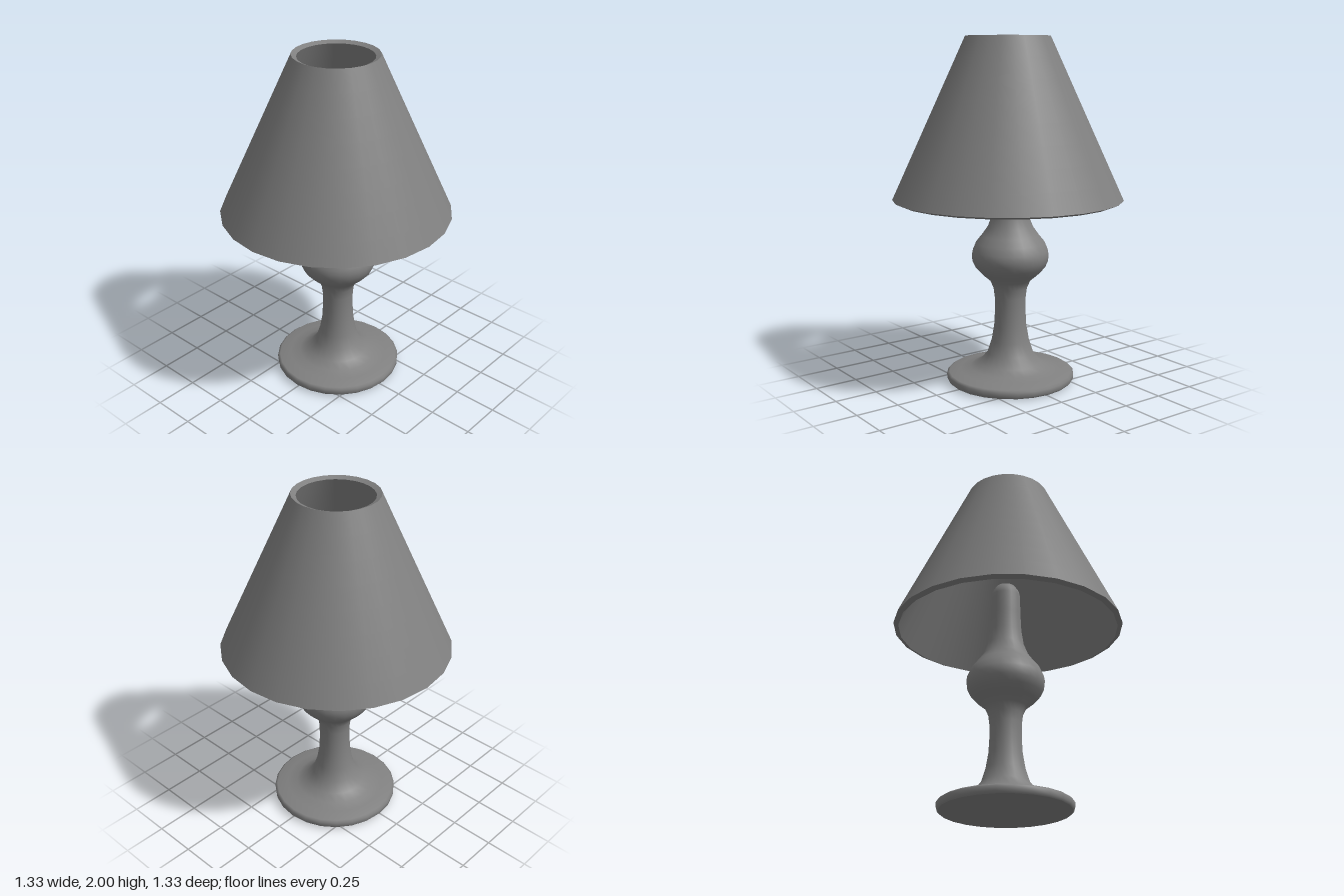
import * as THREE from 'three';

const SIDES = 24;

// Revolves a list of [radius, height] points, listed so faces look outward
function turned(name, profile, material) {
  const points = profile.map(([r, y]) => new THREE.Vector2(r, y));
  const mesh = new THREE.Mesh(new THREE.LatheGeometry(points, SIDES), material);
  mesh.name = name;
  return mesh;
}

// Straight profile in several rows, which keeps the shading of a long cone even
function straight([r0, y0], [r1, y1], rows = 8) {
  return Array.from({ length: rows + 1 }, (_, i) => [
    THREE.MathUtils.lerp(r0, r1, i / rows),
    THREE.MathUtils.lerp(y0, y1, i / rows),
  ]);
}

export function createModel() {
  const lamp = new THREE.Group();
  lamp.name = 'tableLamp';
  const material = new THREE.MeshStandardMaterial({ color: 0x808080 });

  // Turned stand: foot, waist, round bulge, neck and domed tip, slightly off the shade's axis
  const stand = new THREE.Group();
  stand.name = 'stand';
  stand.position.set(0.018, 0, -0.003);
  stand.add(turned('footUnderside', [[0, 0], [0.363, 0.006]], material));
  stand.add(turned('column', [
    [0.363, 0.006], [0.373, 0.018], [0.374, 0.045], [0.36, 0.056],
    [0.295, 0.068], [0.235, 0.082], [0.18, 0.109], [0.134, 0.165],
    [0.11, 0.24], [0.095, 0.33], [0.09, 0.42], [0.091, 0.5],
    [0.098, 0.555], [0.118, 0.6], [0.168, 0.642], [0.203, 0.68],
    [0.22, 0.718], [0.224, 0.75], [0.219, 0.78], [0.2, 0.825],
    [0.165, 0.868], [0.132, 0.915], [0.105, 0.985], [0.092, 1.07],
    [0.087, 1.18], [0.085, 1.3], [0.077, 1.33], [0.055, 1.362],
    [0.025, 1.378], [0, 1.383],
  ], material));
  lamp.add(stand);

  // Conical shade with thickness; each surface is separate to keep the rims crisp
  const shade = new THREE.Group();
  shade.name = 'shade';
  const outerLow = [0.663, 1.08], outerTop = [0.241, 2];
  const innerTop = [0.212, 1.987], innerLow = [0.634, 1.067];
  shade.add(turned('shadeOutside', straight(outerLow, outerTop), material));
  shade.add(turned('shadeTopRim', [outerTop, innerTop], material));
  shade.add(turned('shadeInside', straight(innerTop, innerLow), material));
  shade.add(turned('shadeBottomRim', [innerLow, outerLow], material));
  lamp.add(shade);

  return lamp;
}
